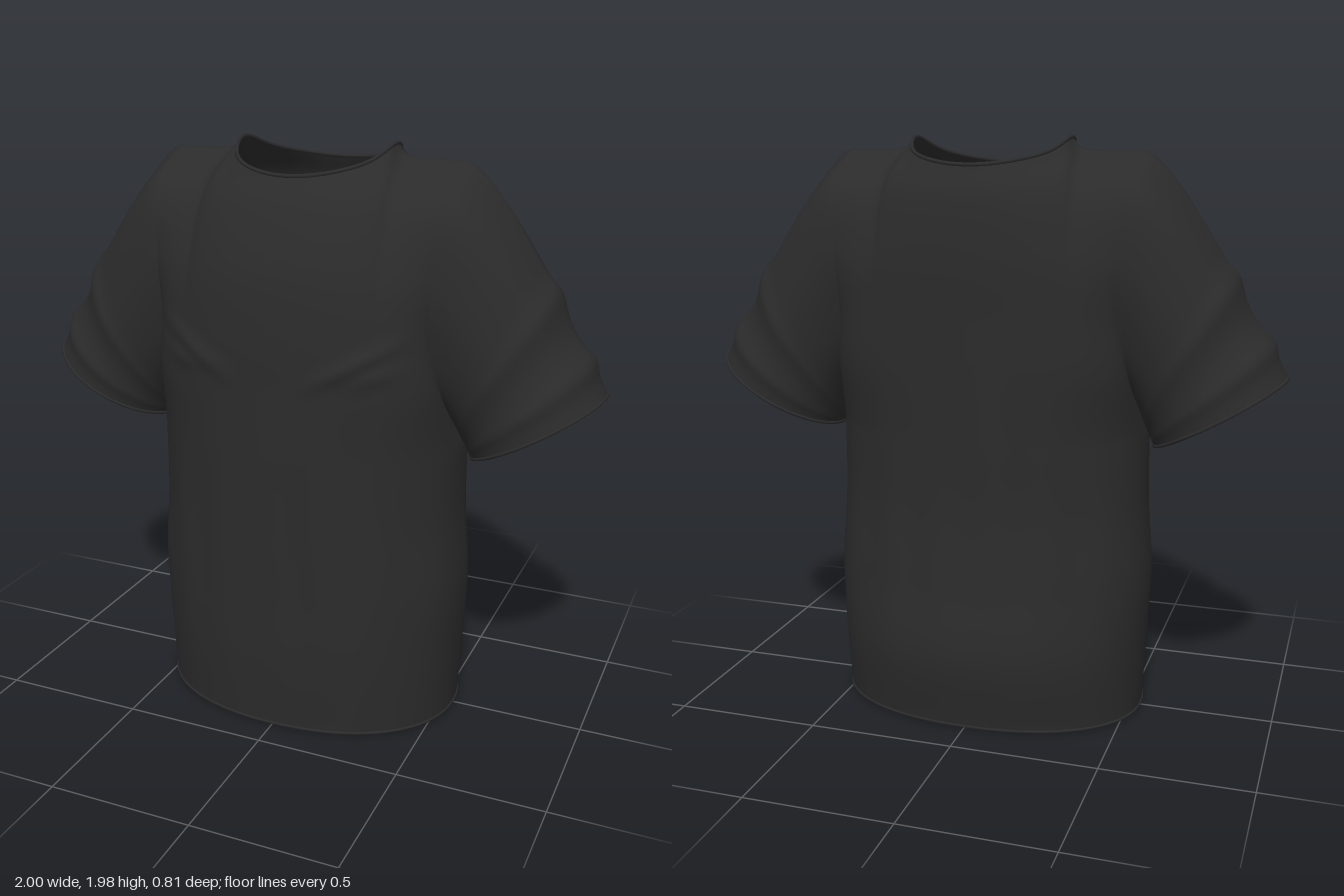
import * as THREE from 'three';
import { mergeVertices } from 'three/addons/utils/BufferGeometryUtils.js';

const V = (x, y, z) => new THREE.Vector3(x, y, z);
const curve = (pts) => new THREE.CatmullRomCurve3(pts.map((p) => V(...p)), false, 'catmullrom');
const gauss = (d, s) => Math.exp(-(d * d) / (s * s));

// heights shared by the side and centre profiles, hem to underarm
const LOW = [0, 0.25, 0.5, 0.75, 1];
const sideLow = curve([0.538, 0.55, 0.56, 0.543, 0.54].map((x, i) => [x, LOW[i], 0]));

// half profiles: centre line and armhole edge, for chest and back
const HIGH = [1, 1.2, 1.4, 1.6, 1.78, 1.885];
const half = (low, high, armZ) => ({
  low: curve(low.map((z, i) => [0, LOW[i], z])),
  high: curve(high.map((z, i) => [0, HIGH[i], z])),
  arm: curve([[0.54, 1, 0], [0.505, 1.2, armZ[0]], [0.475, 1.4, armZ[1]],
    [0.48, 1.6, armZ[2]], [0.5, 1.81, armZ[3]], [0.5, 1.93, -0.02]]),
});
const chest = half([0.39, 0.405, 0.405, 0.405, 0.405], [0.405, 0.4, 0.395, 0.37, 0.305, 0.24], [0.16, 0.215, 0.225, 0.165]);
const back = half([-0.36, -0.4, -0.375, -0.355, -0.355], [-0.355, -0.355, -0.355, -0.355, -0.335, -0.29], [-0.17, -0.235, -0.26, -0.205]);

// neckline (u up to 0.5) followed by the shoulder seam
function topEdge(u, front) {
  if (u <= 0.5) {
    const s = Math.sin(u * Math.PI), c = Math.cos(u * Math.PI);
    return V(0.27 * s, 1.885 + 0.05 * s * s + 0.035 * s ** 12, -0.025 + (front ? 0.265 : -0.265) * c);
  }
  const k = (u - 0.5) * 2;
  return V(0.27 + 0.23 * k, 1.93 + 0.04 * Math.exp(-k * 10), -0.025 + 0.005 * k);
}

// elliptical row from the centre line (u = 0) to the side (u = 1)
function row(h, u, v) {
  const c = v < 0 ? h.low.getPoint(v + 1) : h.high.getPoint(v);
  const a = v < 0 ? sideLow.getPoint(v + 1) : h.arm.getPoint(v);
  const s = Math.sin(u * Math.PI / 2), k = Math.max(0, Math.cos(u * Math.PI / 2));
  return V(a.x * s ** 0.92, a.y + (c.y - a.y) * k * k, a.z + (c.z - a.z) * k ** (0.92 + Math.max(0, v)));
}

// slanting cloth folds on the chest: x, y of both ends, height
const FOLDS = [[0.41, 1.4, 0.15, 1.26, 0.014], [0.4, 1.31, 0.27, 1.27, 0.01]];
function foldHeight(x, y) {
  let sum = 0;
  for (const [x0, y0, x1, y1, amp] of FOLDS) {
    const dx = x1 - x0, dy = y1 - y0;
    const t = THREE.MathUtils.clamp(((x - x0) * dx + (y - y0) * dy) / (dx * dx + dy * dy), 0, 1);
    sum += amp * Math.sin(Math.PI * (0.1 + 0.8 * t)) * gauss(Math.hypot(x - x0 - dx * t, y - y0 - dy * t), 0.025);
  }
  return sum;
}

function bodyPoint(h, u, v) {
  const p = row(h, u, v);
  const front = h === chest;
  if (v > 0) {
    const w = v ** 3;
    p.addScaledVector(topEdge(u, front).sub(row(h, u, 1)), w);
  }
  if (front) p.z += foldHeight(p.x, p.y) * (1 - u ** 8);
  // soft vertical drape below the chest
  const drape = Math.max(0, 1 - Math.abs(p.y - 0.65) / 0.6);
  p.z += 0.004 * drape * Math.cos(p.x * 34) * (1 - u ** 4);
  return p;
}

// smooth grid surface, welded where its edges meet
function surface(f, nu, nv) {
  const pos = [], index = [];
  for (let j = 0; j <= nv; j++) {
    for (let i = 0; i <= nu; i++) pos.push(...f(i / nu, j / nv).toArray());
  }
  for (let j = 0; j < nv; j++) {
    for (let i = 0; i < nu; i++) {
      const a = j * (nu + 1) + i, b = a + nu + 1;
      index.push(a, a + 1, b + 1, a, b + 1, b);
    }
  }
  const g = new THREE.BufferGeometry();
  g.setAttribute('position', new THREE.Float32BufferAttribute(pos, 3));
  g.setIndex(index);
  return g;
}
function smooth(g) {
  const m = mergeVertices(g, 1e-5);
  m.computeVertexNormals();
  return m;
}

// sleeve: armhole loop swept down to a tilted cuff; a runs round it from the underarm
const CUFF = V(0.785, 1.083, -0.02), ACROSS = V(0.215, 0.118, 0), DOWN = V(0.48, -0.88, 0);
function sleevePoint(a, s) {
  const front = a <= 0.5;
  const start = bodyPoint(front ? chest : back, 1, front ? a * 2 : 2 - a * 2);
  const phi = a * Math.PI * 2, upper = (1 - Math.cos(phi)) / 2;
  const out = ACROSS.clone().multiplyScalar(-Math.cos(phi)).add(V(0, 0, 0.235 * Math.sin(phi)));
  const end = CUFF.clone().add(out);
  const reach = start.distanceTo(end) * 0.4;
  const p = new THREE.CubicBezierCurve3(start, start.clone().add(V(0.1 * upper, 0, 0)),
    end.clone().addScaledVector(DOWN, -reach), end).getPoint(s);
  // rolled folds around the sleeve
  const bump = 0.014 * gauss(s - 0.66, 0.04) + 0.016 * gauss(s - 0.88, 0.035) - 0.008 * gauss(s - 0.77, 0.05);
  return p.addScaledVector(out.normalize(), bump * upper);
}

export function createModel() {
  const group = new THREE.Group();
  const cloth = new THREE.MeshStandardMaterial({ color: 0x2b2b2b, side: THREE.DoubleSide });
  cloth.name = 'charcoal cloth';
  const add = (name, geometry) => {
    const mesh = new THREE.Mesh(geometry, cloth);
    mesh.name = name;
    group.add(mesh);
  };

  // front and back panels, welded into one torso
  const NU = 80, NV = 120;
  const panel = (h, dir) => surface((i, j) => {
    const u = i * 2 - 1;
    const p = bodyPoint(h, Math.abs(u), j * 2 - 1);
    p.x *= dir * Math.sign(u);
    return p;
  }, NU, NV);
  const f = panel(chest, 1), b = panel(back, -1);
  const count = f.attributes.position.count;
  const torso = new THREE.BufferGeometry();
  torso.setAttribute('position', new THREE.Float32BufferAttribute(
    [...f.attributes.position.array, ...b.attributes.position.array], 3));
  torso.setIndex([...f.index.array, ...Array.from(b.index.array, (n) => n + count)]);
  add('torso', smooth(torso));

  // thin rolled edges
  const rim = (name, at, radius) => {
    const pts = Array.from({ length: 72 }, (_, i) => at(i / 72));
    add(name, new THREE.TubeGeometry(new THREE.CatmullRomCurve3(pts, true), 144, radius, 6, true));
  };

  for (const [side, name] of [[1, 'left'], [-1, 'right']]) {
    add(name + 'Sleeve', smooth(surface((i, s) => {
      const p = sleevePoint(side > 0 ? 1 - i : i, s);
      p.x *= side;
      return p;
    }, NV, 48)));
    rim(name + 'CuffEdge', (a) => {
      const p = sleevePoint(a, 0.99);
      p.x *= side;
      return p;
    }, 0.006);
  }

  // walk once around the body at a given edge
  const around = (v, uMax) => (t) => {
    const k = t * 4, q = Math.floor(k), r = k - q;
    const u = (q % 2 ? 1 - r : r) * uMax;
    const p = bodyPoint(q === 0 || q === 3 ? chest : back, u, v);
    if (q > 1) p.x *= -1;
    return p;
  };
  rim('neckEdge', around(1, 0.5), 0.007);
  rim('hemEdge', (t) => around(-1, 1)(t).add(V(0, 0.006, 0)), 0.006);
  return group;
}
